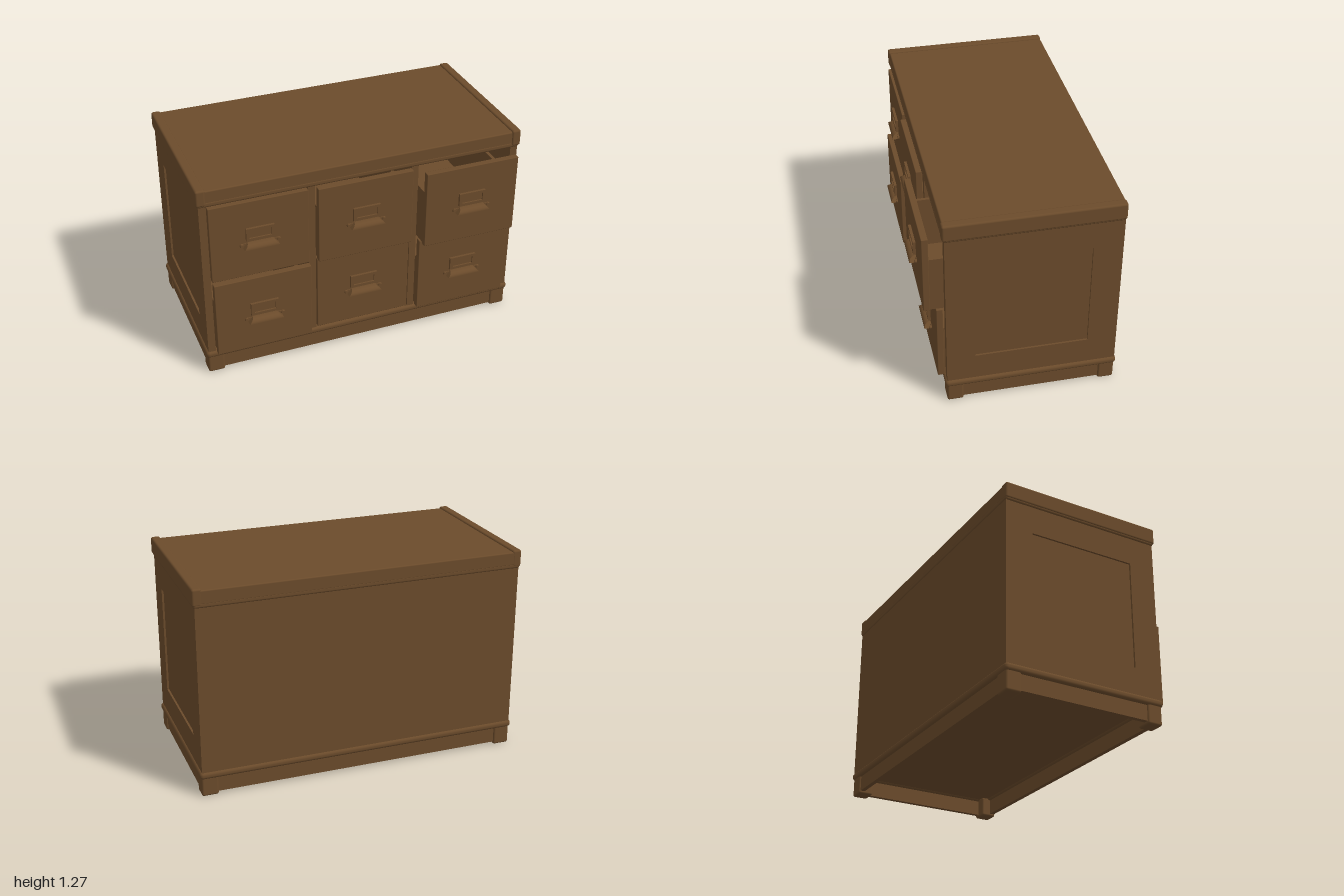
import * as THREE from 'three';
import { RoundedBoxGeometry } from 'three/addons/geometries/RoundedBoxGeometry.js';

const wood = new THREE.MeshStandardMaterial({ color: 0x6b4b2b, side: THREE.DoubleSide });
wood.name = 'brown wood';

function add(parent, name, geometry) {
  const mesh = new THREE.Mesh(geometry, wood);
  mesh.name = name;
  parent.add(mesh);
  return mesh;
}

// Box given by its limits on each axis, with optionally rounded edges
function block(parent, name, [x0, x1], [y0, y1], [z0, z1], radius = 0) {
  const size = [x1 - x0, y1 - y0, z1 - z0];
  const geometry = radius ? new RoundedBoxGeometry(...size, 3, radius) : new THREE.BoxGeometry(...size);
  geometry.translate((x0 + x1) / 2, (y0 + y1) / 2, (z0 + z1) / 2);
  return add(parent, name, geometry);
}

// Rectangle outline with a rectangular hole
function frameShape(x0, x1, y0, y1, hx0, hx1, hy0, hy1) {
  const points = (a, b, c, d) => [[a, c], [b, c], [b, d], [a, d]].map(p => new THREE.Vector2(...p));
  const shape = new THREE.Shape(points(x0, x1, y0, y1));
  shape.holes.push(new THREE.Path(points(hx0, hx1, hy0, hy1).reverse()));
  return shape;
}

// Hollow quarter-round cup, wider at its lower lip
function cupGeometry() {
  const geometry = new THREE.CylinderGeometry(1, 1, 2, 10, 1, false, 0, Math.PI / 2);
  geometry.rotateZ(Math.PI / 2);
  const p = geometry.attributes.position;
  for (let i = 0; i < p.count; i++) {
    const y = p.getY(i);
    p.setXYZ(i, p.getX(i) * (0.105 - 0.028 * y), y * 0.03, p.getZ(i) * 0.042);
  }
  geometry.computeVertexNormals();
  return geometry;
}

// Label holder and pull, on the plane z = 0 around the drawer's centre
function createHandle() {
  const handle = new THREE.Group();
  handle.name = 'handle';
  const label = new THREE.ExtrudeGeometry(
    frameShape(-0.085, 0.085, -0.005, 0.077, -0.066, 0.066, 0.012, 0.06),
    { depth: 0.016, bevelEnabled: false });
  add(handle, 'labelFrame', label);
  block(handle, 'labelCard', [-0.07, 0.07], [0, 0.07], [0, 0.006]);
  block(handle, 'pullPlate', [-0.115, 0.115], [-0.044, -0.022], [0, 0.006]);
  add(handle, 'cupPull', cupGeometry()).position.y = -0.047;
  for (const side of [-1, 1]) {
    const screw = new THREE.CylinderGeometry(0.01, 0.012, 0.012, 12);
    screw.rotateX(Math.PI / 2);
    add(handle, 'screw', screw).position.set(side * 0.111, -0.033, 0.006);
  }
  return handle;
}

// Open-topped drawer, front face on z = 0
function createDrawer() {
  const drawer = new THREE.Group();
  drawer.name = 'drawer';
  block(drawer, 'drawerFront', [-0.295, 0.295], [-0.247, 0.247], [-0.038, 0], 0.004);
  for (const s of [-1, 1]) {
    block(drawer, 'drawerSide', [s * 0.278 - 0.01, s * 0.278 + 0.01], [-0.245, 0.103], [-0.9, -0.036]);
  }
  block(drawer, 'drawerFloor', [-0.27, 0.27], [-0.235, -0.22], [-0.9, -0.036]);
  block(drawer, 'drawerBack', [-0.27, 0.27], [-0.245, 0.103], [-0.9, -0.88]);
  drawer.add(createHandle());
  return drawer;
}

export function createModel() {
  const cabinet = new THREE.Group();
  cabinet.name = 'drawerCabinet';

  // Side walls with a shallow recessed panel
  for (const s of [-1, 1]) {
    const wall = new THREE.ExtrudeGeometry(
      frameShape(-0.43, 0.572, 0.13, 1.17, -0.265, 0.4, 0.32, 0.99),
      { depth: 0.045, bevelEnabled: false });
    wall.rotateY(Math.PI / 2);
    wall.translate(s * 0.9645 - 0.0225, 0, 0);
    add(cabinet, 'sideFrame', wall);
    block(cabinet, 'sidePanel', [s * 0.96 - 0.015, s * 0.96 + 0.015], [0.31, 1], [-0.41, 0.275]);
  }

  // Carcass
  block(cabinet, 'backPanel', [-0.95, 0.95], [0.13, 1.17], [-0.572, -0.54]);
  block(cabinet, 'floor', [-0.95, 0.95], [0.12, 0.156], [-0.56, 0.425]);
  block(cabinet, 'shelf', [-0.945, 0.945], [0.653, 0.661], [-0.55, 0.39]);
  for (const x of [-0.324, 0.32]) {
    block(cabinet, 'divider', [x - 0.021, x + 0.021], [0.15, 1.165], [-0.55, 0.43]);
  }

  // Worktop with raised end caps
  block(cabinet, 'topMoulding', [-0.995, 0.995], [1.158, 1.195], [-0.577, 0.438], 0.014);
  block(cabinet, 'top', [-0.96, 0.96], [1.18, 1.262], [-0.577, 0.436], 0.008);
  for (const s of [-1, 1]) {
    block(cabinet, 'topEndCap', [s * 0.972 - 0.028, s * 0.972 + 0.028], [1.17, 1.272], [-0.578, 0.443], 0.012);
  }

  // Base moulding as a four-sided border
  const [my, mr] = [[0.111, 0.156], 0.02];
  block(cabinet, 'baseMoulding', [-1, 1], my, [0.37, 0.441], mr);
  block(cabinet, 'baseMoulding', [-1, 1], my, [-0.582, -0.51], mr);
  for (const s of [-1, 1]) {
    block(cabinet, 'baseMoulding', [s * 0.965 - 0.035, s * 0.965 + 0.035], my, [-0.582, 0.441], mr);
    // Skirts and feet
    block(cabinet, 'sideSkirt', [s * 0.966 - 0.014, s * 0.966 + 0.014], [0.016, 0.125], [-0.56, 0.42]);
    block(cabinet, 'foot', [s * 0.94 - 0.05, s * 0.94 + 0.05], [0, 0.125], [0.335, 0.43], 0.012);
    block(cabinet, 'foot', [s * 0.94 - 0.05, s * 0.94 + 0.05], [0, 0.125], [-0.572, -0.477], 0.012);
  }
  block(cabinet, 'frontSkirt', [-0.97, 0.97], [0.016, 0.125], [0.392, 0.42]);
  block(cabinet, 'backSkirt', [-0.97, 0.97], [0.016, 0.125], [-0.562, -0.534]);

  // Drawers, each pulled out by its own amount
  const columns = [-0.645, -0.002, 0.64];
  const rows = [
    { y: 0.407, fronts: [0.483, 0.435, 0.475] },
    { y: 0.907, fronts: [0.452, 0.47, 0.545] },
  ];
  for (const { y, fronts } of rows) {
    columns.forEach((x, i) => {
      const drawer = createDrawer();
      drawer.position.set(x, y, fronts[i]);
      cabinet.add(drawer);
    });
  }
  return cabinet;
}
